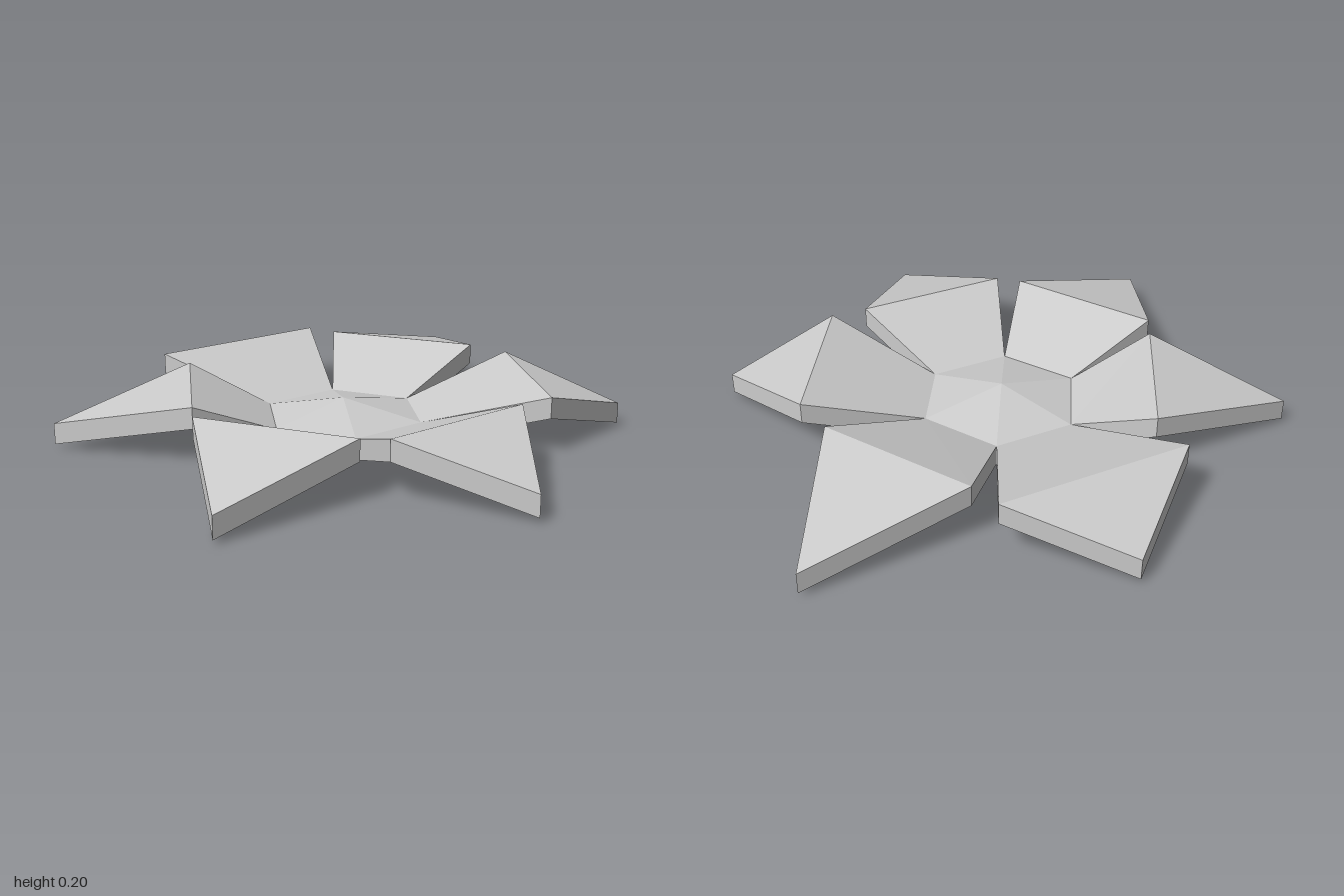
import * as THREE from 'three';

const THICK = 0.075;       // vertical thickness of the folded plate
const RIM = 0, FOLD = 0.13, TIP = 0.015, PEAK = 0.06; // underside heights

// Hexagon corners [x, z], anticlockwise seen from above
const HEX = [[0.24, 0.18], [0.24, -0.11], [-0.01, -0.26], [-0.27, -0.11], [-0.27, 0.18], [-0.01, 0.33]];

// Per petal: first fold corner, tip, second fold corner [x, z]
const PETALS = [
  [[0.6, 0.33], [1, 0.09], [0.6, -0.24]],
  [[0.61, -0.37], [0.55, -0.795], [0.08, -0.68]],
  [[-0.08, -0.65], [-0.6, -0.935], [-0.585, -0.355]],
  [[-0.7, -0.32], [-1, 0.01], [-0.7, 0.37]],
  [[-0.53, 0.36], [-0.5, 0.925], [-0.045, 0.64]],
  [[0.04, 0.69], [0.54, 0.93], [0.54, 0.4]],
];

const at = ([x, z], y) => new THREE.Vector3(x, y, z);

// Thick folded plate: top and underside from triangles, upright walls along a path
function plate(points, triangles, wallPath) {
  const top = points.map((p) => p.clone().setY(p.y + THICK));
  const verts = [];
  for (const [a, b, c] of triangles) {
    verts.push(top[a], top[b], top[c], points[a], points[c], points[b]);
  }
  for (let i = 0; i + 1 < wallPath.length; i++) {
    const u = wallPath[i], v = wallPath[i + 1];
    verts.push(points[u], points[v], top[v], points[u], top[v], top[u]);
  }
  const geometry = new THREE.BufferGeometry().setFromPoints(verts);
  geometry.computeVertexNormals();
  return geometry;
}

export function createModel() {
  const group = new THREE.Group();
  group.name = 'flower';
  const grey = new THREE.MeshStandardMaterial({ color: 0xcccccc, flatShading: true });
  grey.name = 'light grey';

  const add = (name, geometry) => {
    const mesh = new THREE.Mesh(geometry, grey);
    mesh.name = name;
    group.add(mesh);
  };

  // Low six-sided pyramid in the middle
  const hub = [at([-0.01, 0.04], PEAK), ...HEX.map((p) => at(p, RIM))];
  add('hub', plate(hub, HEX.map((_, i) => [0, i + 1, ((i + 1) % 6) + 1]), []));

  // Petals rise to a fold, then drop to a pointed tip
  PETALS.forEach(([foldA, tip, foldB], i) => {
    const points = [at(HEX[i], RIM), at(foldA, FOLD), at(tip, TIP), at(foldB, FOLD), at(HEX[(i + 1) % 6], RIM)];
    add(`petal${i + 1}`, plate(points, [[0, 1, 3], [0, 3, 4], [1, 2, 3]], [0, 1, 2, 3, 4]));
  });

  return group;
}
